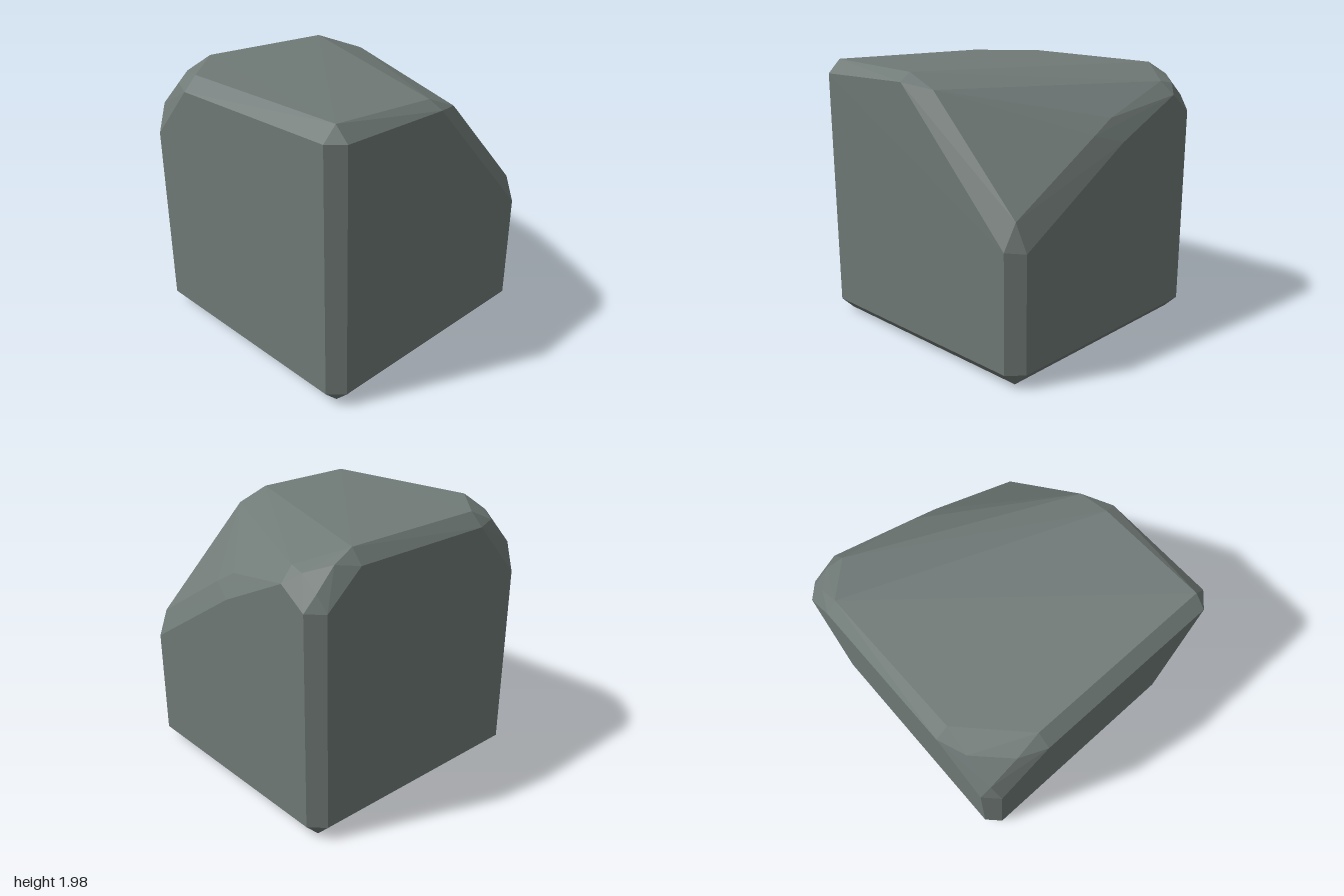
import * as THREE from 'three';
import { ConvexGeometry } from 'three/addons/geometries/ConvexGeometry.js';

const X = 1, Z = 0.985, B = 0.1;       // half sizes and chamfer width
const xi = X - B, zi = Z - B;

export function createModel() {
  const stone = new THREE.MeshStandardMaterial({ color: 0x707a77 });
  stone.name = 'greyStone';
  const pts = [];
  const add = (...list) => list.forEach((p) => pts.push(new THREE.Vector3(...p)));

  // Chamfered bottom corners
  for (const sx of [-1, 1]) for (const sz of [-1, 1]) {
    add([sx * xi, 0, sz * zi], [sx * X, B, sz * zi], [sx * xi, B, sz * Z]);
  }

  // Front left-hand top corner: plain chamfer
  add([-xi, 1.98, zi], [-X, 1.88, zi], [-xi, 1.88, Z]);

  // Each chipped corner: rim on the top, facet triangle, then ends on the two side faces
  // Large chip at the front
  add([-0.07, 1.94, 0.89], [0.91, 1.63, -0.05],
    [0.18, 1.84, 0.9], [0.92, 1.53, 0.14], [0.92, 1.1, 0.9],
    [-0.05, 1.88, Z], [xi, 0.92, Z], [X, 0.91, zi], [X, 1.47, -0.08]);

  // Medium chip at the back
  add([-xi, 1.98, -0.5], [-0.5, 1.975, -0.89],
    [-0.92, 1.89, -0.69], [-0.7, 1.89, -0.91], [-0.92, 1.69, -0.91],
    [-X, 1.88, -0.5], [-X, 1.48, -zi], [-xi, 1.48, -Z], [-0.5, 1.88, -Z]);

  // Small chip at the other back corner
  add([0.63, 1.94, -0.9], [0.9, 1.83, -0.66],
    [0.78, 1.86, -0.91], [0.92, 1.81, -0.78], [0.92, 1.71, -0.91],
    [0.63, 1.84, -Z], [xi, 1.6, -Z], [X, 1.6, -zi], [X, 1.735, -0.68]);

  const block = new THREE.Mesh(new ConvexGeometry(pts), stone);
  block.name = 'chippedStoneBlock';
  const group = new THREE.Group();
  group.name = 'stone';
  group.add(block);
  return group;
}
